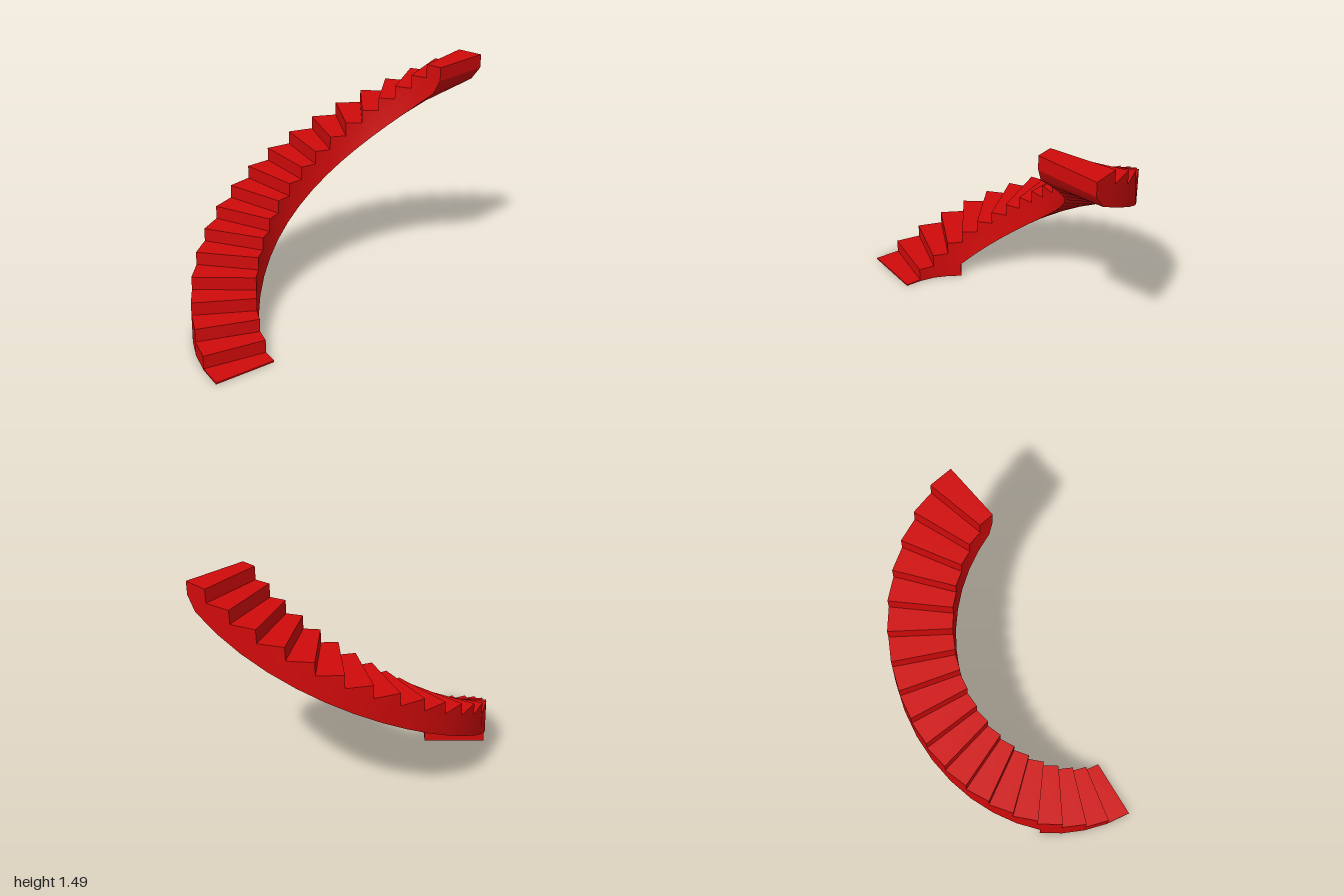
import * as THREE from 'three';
import { toCreasedNormals } from 'three/addons/utils/BufferGeometryUtils.js';

const STEPS = 19, RISE = 0.082, TURN = 9;   // step count, riser height, degrees per step
const OUTER = 1, INNER = 0.62, INNER_LOW = 0.608, AXIS_X = 0.5;
const BASE_END = 4;                         // the solid foot runs under the first four steps

// Point on the sweep: angle in degrees from +z towards -x
function at(radius, deg, y) {
  const a = THREE.MathUtils.degToRad(deg);
  return [AXIS_X - radius * Math.sin(a), y, radius * Math.cos(a)];
}

// Each profile point holds its outer and inner position
const pair = (deg, y, inner) => ({ o: at(OUTER, deg, y), i: at(inner, deg, y) });
const treadTop = (k) => (k < 0 ? 0 : 0.01 + RISE * k);
const top = (k, y) => pair(TURN * (k + 1), y, INNER);

// Lower corner under step edge k: flat on the floor, then climbing
function low(k, onFloor) {
  if (k < 3) return pair(TURN * (k + 1), 0, INNER);
  if (k === 3) return pair(35.3, 0, 0.613);
  const m = k - BASE_END;
  return pair(43.6 + 8.87 * m, onFloor ? 0 : 0.092 + RISE * m, INNER_LOW);
}

export function createModel() {
  const group = new THREE.Group();
  group.name = 'curvedStaircase';
  const material = new THREE.MeshStandardMaterial({ color: 0xd00a0a });
  const steps = [], walls = [], soffit = [], end = [];

  const strip = (list, u, v) => list.push(u.i, u.o, v.o, u.i, v.o, v.i);

  for (let k = 0; k < STEPS; k++) {
    const y = treadTop(k), yPrev = treadTop(k - 1);
    const frontTop = top(k, y), frontLow = top(k, yPrev), backTop = top(k + 1, y);

    // Riser and tread
    strip(steps, frontTop, frontLow);
    strip(steps, backTop, frontTop);

    // Underside, with the foot's back wall and the bevel at the upper end
    const bottom = [low(k), low(k + 1, k + 1 === BASE_END)];
    if (k + 1 === BASE_END) bottom.push(low(k + 1));
    if (k === STEPS - 1) bottom.push(top(k + 1, yPrev));
    for (let j = 0; j + 1 < bottom.length; j++) strip(soffit, bottom[j], bottom[j + 1]);
    if (k === STEPS - 1) strip(end, bottom[bottom.length - 1], backTop);

    // Outer and inner side walls as fans around the foot of the riser
    const rim = [...bottom, backTop, frontTop];
    for (let j = k === 0 ? 1 : 0; j + 1 < rim.length; j++) {
      walls.push(frontLow.o, rim[j + 1].o, rim[j].o);
      walls.push(frontLow.i, rim[j].i, rim[j + 1].i);
    }
  }

  const add = (name, points, crease) => {
    const geometry = new THREE.BufferGeometry();
    geometry.setAttribute('position', new THREE.Float32BufferAttribute(points.flat(), 3));
    const mesh = new THREE.Mesh(toCreasedNormals(geometry, crease), material);
    mesh.name = name;
    group.add(mesh);
  };
  add('treadsAndRisers', steps, 0.1);
  add('sideWalls', walls, 0.6);
  add('underside', soffit, 0.6);
  add('upperEnd', end, 0.1);
  return group;
}
